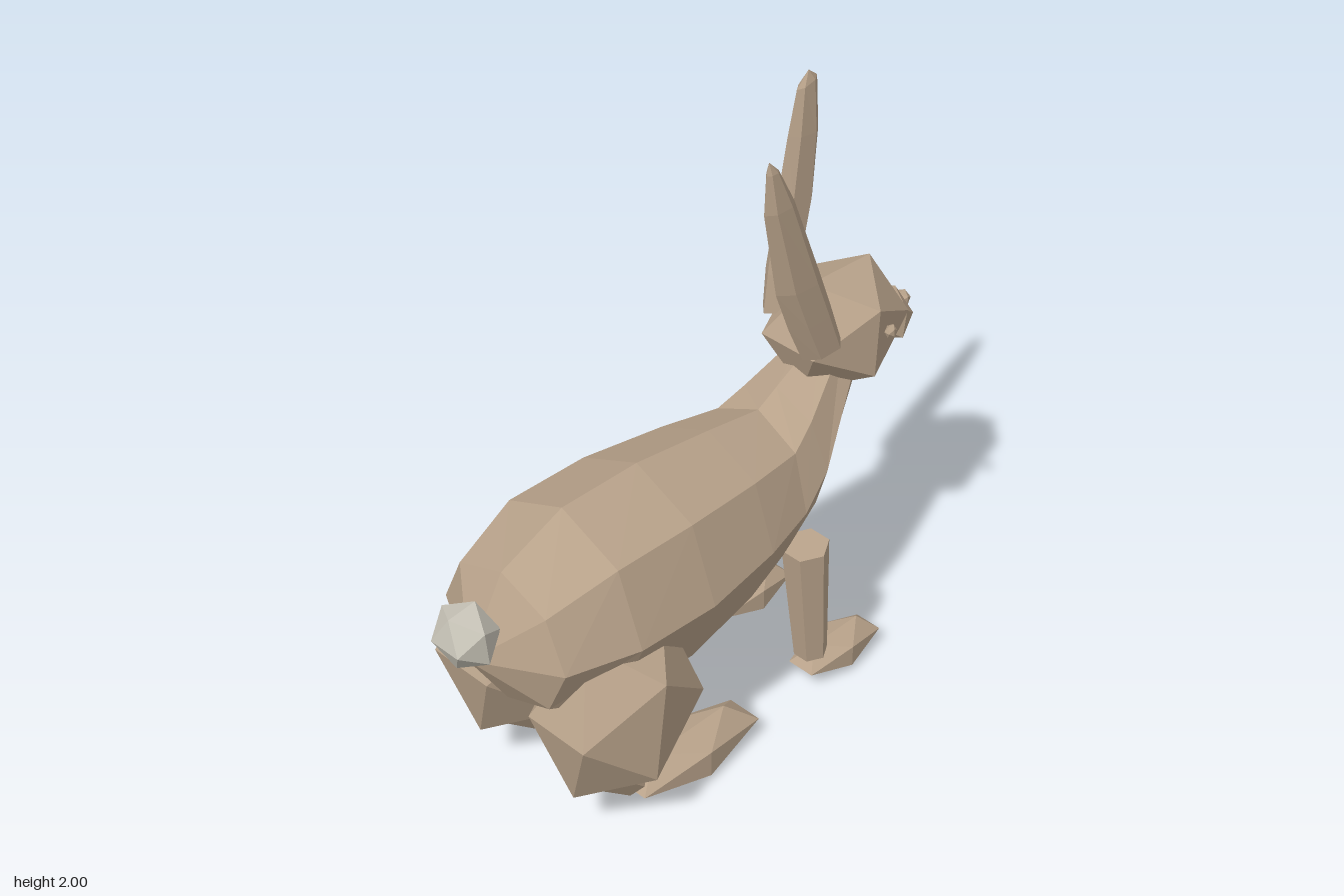
import * as THREE from 'three';

const fur = new THREE.MeshStandardMaterial({ color: 0xb8a28a, flatShading: true });
fur.name = 'tan fur';
const tailFur = new THREE.MeshStandardMaterial({ color: 0xc8c4b8, flatShading: true });
tailFur.name = 'pale tail fur';

function part(name, geometry, material = fur) {
  const mesh = new THREE.Mesh(geometry, material);
  mesh.name = name;
  return mesh;
}

// Faceted lump: a stretched icosahedron, tilted about z
function lump(name, center, radii, tilt = 0, material = fur) {
  const mesh = part(name, new THREE.IcosahedronGeometry(1, 0), material);
  mesh.position.set(...center);
  mesh.scale.set(...radii);
  mesh.rotation.z = tilt;
  return mesh;
}

// Tapered six-sided limb between two points
function limb(name, from, to, r0, r1) {
  const a = new THREE.Vector3(...from), b = new THREE.Vector3(...to);
  const dir = a.clone().sub(b);
  const geometry = new THREE.CylinderGeometry(r0, r1, dir.length(), 6);
  const mesh = part(name, geometry);
  mesh.position.copy(a).add(b).multiplyScalar(0.5);
  mesh.quaternion.setFromUnitVectors(new THREE.Vector3(0, 1, 0), dir.normalize());
  return mesh;
}

// Skin over elliptical rings [x1, y1, x2, y2, halfDepth, z], closed at both end points
function loft(rings, sides, start, end) {
  const pos = [], index = [];
  for (const [x1, y1, x2, y2, half, z = 0] of rings) {
    for (let k = 0; k < sides; k++) {
      const a = (k / sides) * Math.PI * 2, c = Math.cos(a) / 2;
      pos.push((x1 + x2) / 2 + (x1 - x2) * c, (y1 + y2) / 2 + (y1 - y2) * c, z + half * Math.sin(a));
    }
  }
  const s = rings.length * sides, last = s - sides;
  pos.push(...start, ...end);
  for (let k = 0; k < sides; k++) {
    const n = (k + 1) % sides;
    for (let i = 0; i < last; i += sides) {
      index.push(i + k, i + n, i + sides + k, i + n, i + sides + n, i + sides + k);
    }
    index.push(s, n, k, s + 1, last + k, last + n);
  }
  const geometry = new THREE.BufferGeometry();
  geometry.setAttribute('position', new THREE.Float32BufferAttribute(pos, 3));
  geometry.setIndex(index);
  geometry.computeVertexNormals();
  return geometry;
}

export function createModel() {
  const model = new THREE.Group();
  model.name = 'rabbit';

  // Body and neck: octagonal rings from rump to throat
  model.add(part('body', loft([
    [-0.76, 0.99, -0.76, 0.51, 0.26],
    [-0.52, 1.09, -0.52, 0.40, 0.328],
    [-0.22, 1.09, -0.22, 0.375, 0.328],
    [0.08, 1.05, 0.07, 0.43, 0.285],
    [0.30, 1.015, 0.25, 0.49, 0.235],
    [0.38, 1.06, 0.43, 0.595, 0.20],
    [0.58, 1.17, 0.69, 1.01, 0.10],
  ], 8, [-0.9, 0.74, 0], [0.64, 1.1, 0])));

  // Head, muzzle, nose and tail
  model.add(
    lump('head', [0.645, 1.175, 0], [0.26, 0.225, 0.205], -0.05),
    lump('muzzle', [0.86, 1.11, 0], [0.1, 0.092, 0.12], -0.15),
    lump('nose', [0.957, 1.117, 0], [0.031, 0.029, 0.033]),
    lump('tail', [-0.903, 0.842, 0], [0.097, 0.113, 0.109], 0.1, tailFur),
  );

  // Ears: the left one leans back, the right one stands up
  model.add(part('leftEar', loft([
    [0.35, 1.24, 0.52, 1.24, 0.045, 0.13],
    [0.285, 1.38, 0.47, 1.38, 0.045, 0.13],
    [0.225, 1.53, 0.415, 1.52, 0.042, 0.132],
    [0.165, 1.83, 0.29, 1.83, 0.028, 0.134],
    [0.17, 1.96, 0.22, 1.96, 0.014, 0.135],
  ], 6, [0.435, 1.24, 0.13], [0.18, 2, 0.135])));
  model.add(part('rightEar', loft([
    [0.45, 1.24, 0.6, 1.24, 0.045, -0.125],
    [0.47, 1.37, 0.6, 1.37, 0.045, -0.13],
    [0.51, 1.6, 0.67, 1.57, 0.038, -0.138],
    [0.56, 1.81, 0.695, 1.79, 0.028, -0.145],
    [0.6, 1.95, 0.688, 1.97, 0.016, -0.15],
  ], 6, [0.525, 1.24, -0.125], [0.65, 2, -0.15])));

  // Eyes and legs, mirrored
  for (const [side, s] of [['left', 1], ['right', -1]]) {
    model.add(
      lump(side + 'Eye', [0.685, 1.212, s * 0.19], [0.022, 0.024, 0.018]),
      limb(side + 'FrontLeg', [0.315, 0.585, s * 0.2], [0.36, 0.12, s * 0.197], 0.078, 0.056),
      lump(side + 'FrontPaw', [0.475, 0.072, s * 0.2], [0.194, 0.073, 0.094]),
      lump(side + 'Haunch', [-0.515, 0.465, s * 0.21], [0.294, 0.335, 0.223], -0.12),
      limb(side + 'Shank', [-0.63, 0.29, s * 0.21], [-0.46, 0.118, s * 0.21], 0.075, 0.056),
      lump(side + 'HindFoot', [-0.218, 0.082, s * 0.215], [0.297, 0.091, 0.118]),
    );
  }
  return model;
}
